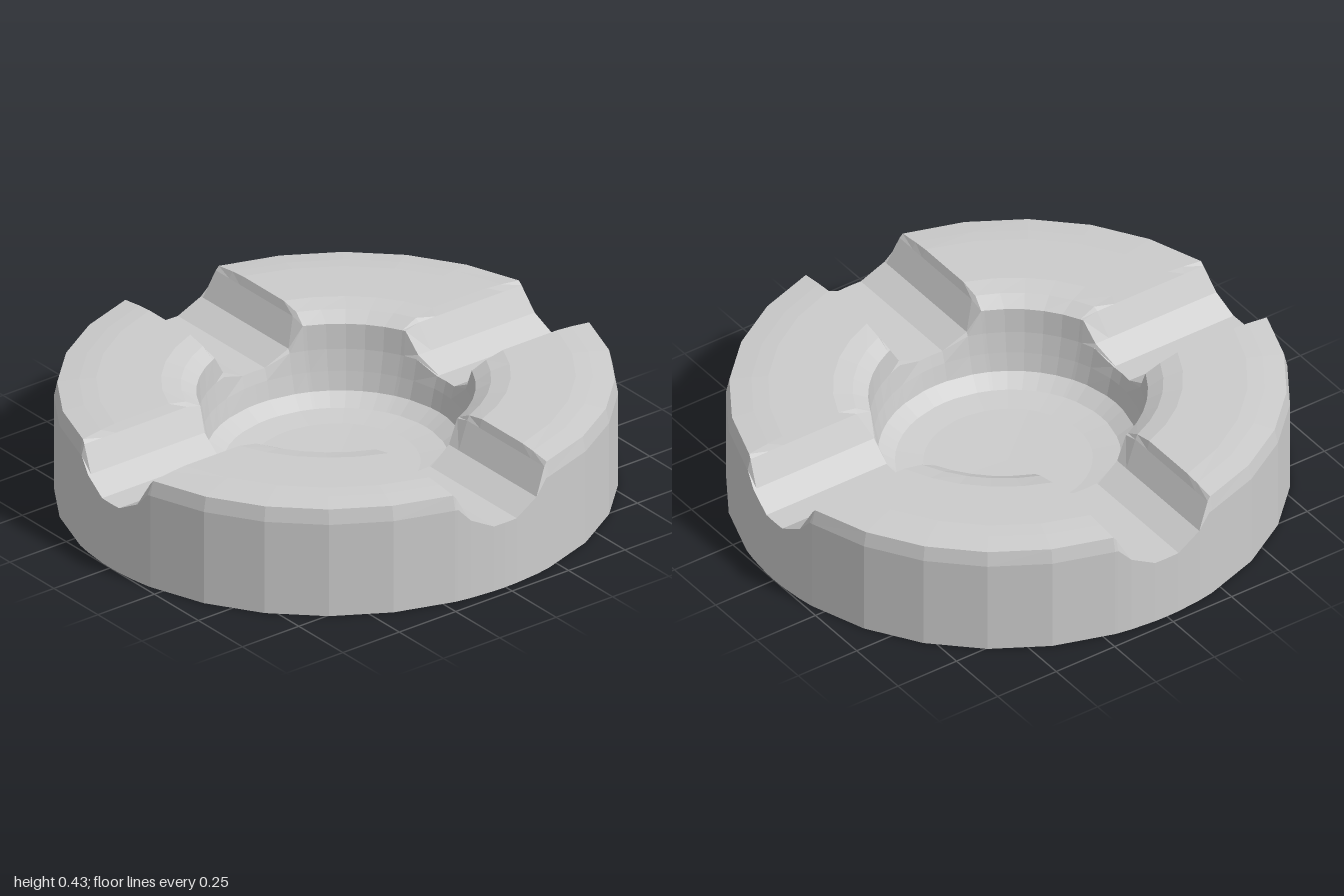
import * as THREE from 'three';

const DEPTH = 0.963; // the dish is slightly narrower front to back

// Cross-section (radius, height): underside, outer wall, rim, bowl wall, bowl floor
const PROFILE = [
  [0, 0], [1, 0], [1, 0.36], [0.988, 0.415], [0.91, 0.425], [0.85, 0.43],
  [0.62, 0.43], [0.55, 0.415], [0.495, 0.385], [0.488, 0.29], [0.475, 0.21],
  [0.46, 0.14], [0.4, 0.102], [0.3, 0.092], [0, 0.09],
];

// Rest groove (sideways offset, height limit)
const GROOVE = [
  [-0.207, Infinity], [-0.195, 0.4], [-0.145, 0.305], [-0.05, 0.255], [0, 0.255],
  [0.05, 0.255], [0.145, 0.305], [0.195, 0.4], [0.207, Infinity],
];
const RIM_STEPS = 5;

// Lines running across the dish: each gives an angle at a radius and a height limit
function makeStations() {
  const stations = [];
  for (let q = 0; q < 4; q++) {
    const base = q * Math.PI / 2;
    for (const [s, limit] of GROOVE) {
      stations.push({ limit, angle: (r) => base + Math.asin(s / Math.max(r, 0.46)) });
    }
    for (let k = 1; k < RIM_STEPS; k++) {
      stations.push({
        limit: Infinity,
        angle: (r) => {
          const edge = Math.asin(0.207 / Math.max(r, 0.46));
          return base + edge + (k / RIM_STEPS) * (Math.PI / 2 - 2 * edge);
        },
      });
    }
  }
  return stations;
}

function dishGeometry() {
  const stations = makeStations();
  const positions = [];
  const index = [];
  const rows = PROFILE.length;
  for (const { limit, angle } of stations) {
    for (const [r, y] of PROFILE) {
      const a = angle(r);
      positions.push(r * Math.sin(a), Math.min(y, limit), r * Math.cos(a) * DEPTH);
    }
  }
  for (let i = 0; i < stations.length; i++) {
    const next = (i + 1) % stations.length;
    for (let j = 0; j < rows - 1; j++) {
      const a = i * rows + j;
      const b = next * rows + j;
      if (j > 0) index.push(a, b, b + 1); // first row closes on the centre point
      if (j < rows - 2) index.push(a, b + 1, a + 1);
      if (j === 0) continue;
    }
  }
  const geometry = new THREE.BufferGeometry();
  geometry.setAttribute('position', new THREE.Float32BufferAttribute(positions, 3));
  geometry.setIndex(index);
  const faceted = geometry.toNonIndexed();
  faceted.computeVertexNormals();
  return faceted;
}

export function createModel() {
  const group = new THREE.Group();
  group.name = 'ashtray';
  const material = new THREE.MeshStandardMaterial({ color: 0xcccccc, flatShading: true });
  const dish = new THREE.Mesh(dishGeometry(), material);
  dish.name = 'groovedDish';
  group.add(dish);
  return group;
}
